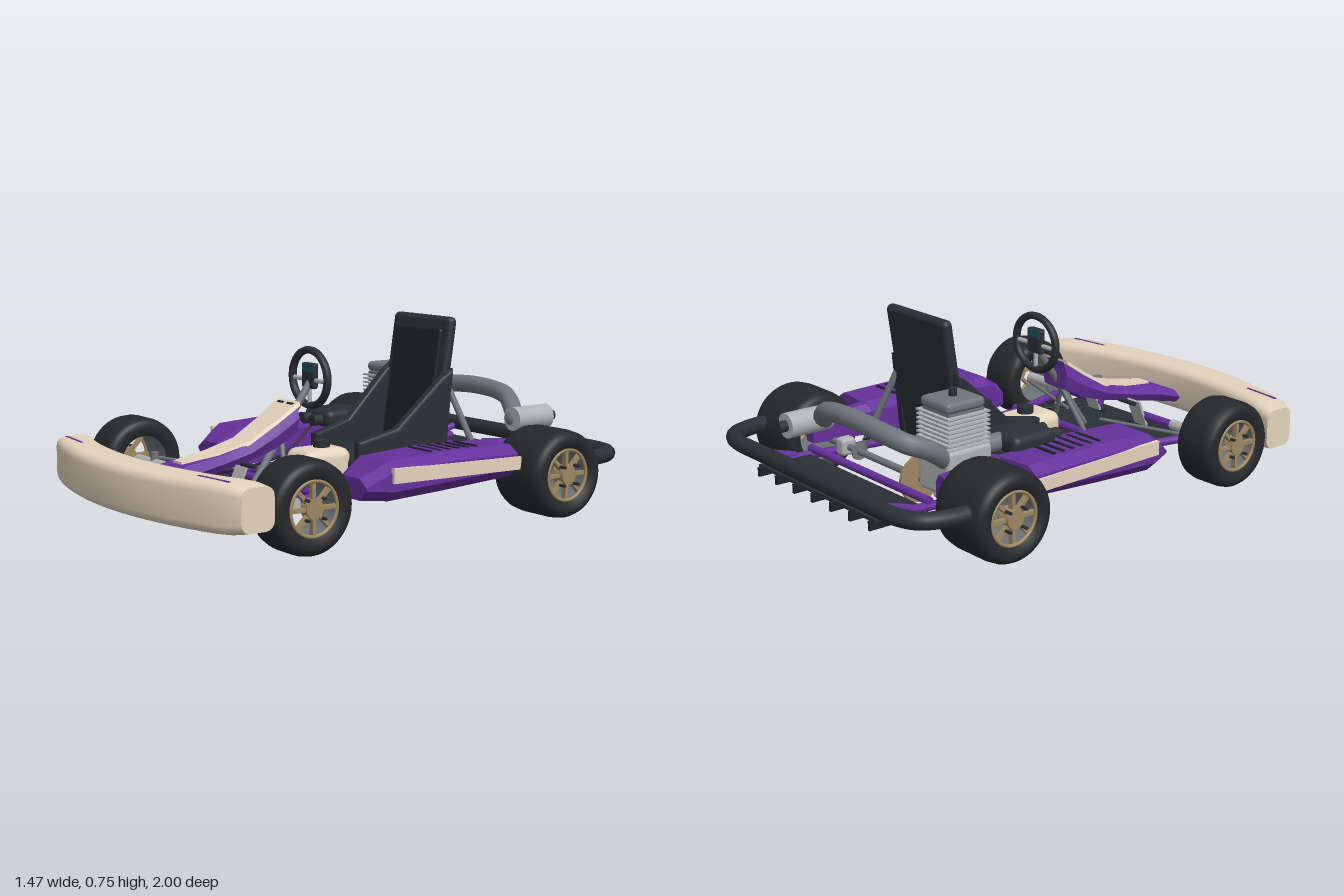
import * as THREE from 'three';
import { toCreasedNormals } from 'three/addons/utils/BufferGeometryUtils.js';
import { RoundedBoxGeometry } from 'three/addons/geometries/RoundedBoxGeometry.js';

const mat = (color) => new THREE.MeshStandardMaterial({ color, side: THREE.DoubleSide });
const PURPLE = mat(0x64309a), BEIGE = mat(0xe3d3bd), BLACK = mat(0x2b3035), DARK = mat(0x1e2226),
  RUBBER = mat(0x26282b), GREY = mat(0x70757a), LIGHT = mat(0xb0b2b4), TAN = mat(0x9c8762), SCREEN = mat(0x1d5058);
const V = (p) => new THREE.Vector3(...p);

export function createModel() {
  const kart = new THREE.Group();
  kart.name = 'goKart';

  const add = (name, geo, material, pos = [0, 0, 0], rot = [0, 0, 0], parent = kart) => {
    const m = new THREE.Mesh(geo, material);
    m.name = name;
    m.position.set(...pos);
    m.rotation.set(...rot);
    parent.add(m);
    return m;
  };
  const box = (name, size, material, pos, rot, parent) => add(name, new THREE.BoxGeometry(...size), material, pos, rot, parent);
  const rbox = (name, size, r, material, pos, rot) => add(name, new RoundedBoxGeometry(...size, 3, r), material, pos, rot);
  // Straight round bar between two points
  const rod = (name, a, b, r, material, parent) => {
    const d = V(b).sub(V(a));
    const m = add(name, new THREE.CylinderGeometry(r, r, d.length(), 16), material, V(a).add(V(b)).multiplyScalar(0.5).toArray(), [0, 0, 0], parent);
    m.quaternion.setFromUnitVectors(new THREE.Vector3(0, 1, 0), d.normalize());
    return m;
  };
  // Bent tube with rounded ends
  const tube = (name, pts, r, material, ends = true) => {
    add(name, new THREE.TubeGeometry(new THREE.CatmullRomCurve3(pts.map(V), false, 'centripetal'), 64, r, 12), material);
    if (ends) for (const p of [pts[0], pts.at(-1)]) add(name + 'End', new THREE.SphereGeometry(r, 12, 8), material, p);
  };
  // Capped skin through equal-length rings of points
  const loft = (name, rings, material, crease = 0.6) => {
    const n = rings[0].length, pos = rings.flat(2), idx = [], last = (rings.length - 1) * n;
    for (let i = 0; i < rings.length - 1; i++) for (let j = 0; j < n; j++) {
      const a = i * n + j, b = i * n + (j + 1) % n;
      idx.push(a, b, a + n, b, b + n, a + n);
    }
    for (let j = 1; j < n - 1; j++) idx.push(0, j + 1, j, last, last + j, last + j + 1);
    // Turn the skin outward if its enclosed volume is negative
    const p = (i) => new THREE.Vector3().fromArray(pos, idx[i] * 3);
    let vol = 0;
    for (let i = 0; i < idx.length; i += 3) vol += p(i).dot(p(i + 1).cross(p(i + 2)));
    if (vol < 0) idx.reverse();
    const g = new THREE.BufferGeometry();
    g.setAttribute('position', new THREE.Float32BufferAttribute(pos, 3));
    g.setIndex(idx);
    return add(name, toCreasedNormals(g, crease), material);
  };
  // Rounded rectangle outline as [u, v] pairs
  const roundRect = (u0, u1, v0, v1, r) => {
    const out = [];
    [[u1 - r, v1 - r], [u0 + r, v1 - r], [u0 + r, v0 + r], [u1 - r, v0 + r]].forEach(([u, v], q) => {
      for (let k = 0; k <= 4; k++) {
        const a = (q + k / 4) * Math.PI / 2;
        out.push([u + r * Math.cos(a), v + r * Math.sin(a)]);
      }
    });
    return out;
  };

  // Wheels
  const wheel = (name, s, x0, x1, z) => {
    const g = new THREE.Group(), w = (x1 - x0) / 2;
    g.name = name;
    g.position.set(s * (x0 + x1) / 2, 0.172, z);
    if (s < 0) g.rotation.y = Math.PI;
    kart.add(g);
    const side = [[0.1, 0.86], [0.12, 0.97], [0.14, 1], [0.157, 0.93], [0.167, 0.78], [0.172, 0.5]];
    const prof = [...side.map(([r, t]) => [r, -t * w]), ...side.map(([r, t]) => [r, t * w]).reverse()];
    add('tyre', new THREE.LatheGeometry(prof.map((p) => new THREE.Vector2(...p)), 48).rotateZ(-Math.PI / 2), RUBBER, undefined, undefined, g);
    add('rimBarrel', new THREE.CylinderGeometry(0.1, 0.1, w * 1.74, 36, 1, true).rotateZ(Math.PI / 2), GREY, undefined, undefined, g);
    add('rimRing', new THREE.TorusGeometry(0.098, 0.007, 8, 40).rotateY(Math.PI / 2), TAN, [w * 0.86, 0, 0], undefined, g);
    rod('hub', [w * 0.5, 0, 0], [w * 0.95, 0, 0], 0.036, TAN, g);
    for (let i = 0; i < 8; i++) {
      const a = i * Math.PI / 4;
      box('spoke', [0.02, 0.07, 0.014], TAN, [w * 0.78, 0.065 * Math.cos(a), 0.065 * Math.sin(a)], [a, 0, 0], g);
      if (i % 2) rod('stud', [w * 0.7, 0.05 * Math.cos(a), 0.05 * Math.sin(a)], [w + 0.01, 0.05 * Math.cos(a), 0.05 * Math.sin(a)], 0.006, BLACK, g);
    }
  };
  for (const s of [-1, 1]) {
    wheel('frontWheel', s, 0.5, 0.682, 0.552);
    wheel('rearWheel', s, 0.46, 0.725, -0.605);
  }

  // Front bumper fairing, bowed forward
  const bow = [];
  for (let i = 0; i <= 24; i++) {
    const t = i / 12 - 1, f = 1 - 0.135 * t * t, e = Math.max(0, Math.abs(t) - 0.85) / 0.15, d = 0.012 * e * e;
    bow.push(roundRect(f - 0.158 + d, f - d, 0.107 + d, 0.288 - d, 0.035).map(([z, y]) => [t * 0.677, y, z]));
  }
  loft('frontBumper', bow, BEIGE);
  for (const s of [-1, 1]) {
    box('bumperStripe', [0.17, 0.004, 0.01], PURPLE, [s * 0.515, 0.288, 0.86], [0, s * 0.12, 0]);
    box('bumperBracket', [0.025, 0.03, 0.27], GREY, [s * 0.38, 0.16, 0.74]);
  }

  // Side pods with outer panels and louvres
  for (const s of [-1, 1]) {
    // z, inner x, outer x, bottom y, top y
    const pod = [[0.258, 0.395, 0.58, 0.145, 0.225], [0.16, 0.365, 0.62, 0.138, 0.283], [-0.1, 0.36, 0.622, 0.15, 0.296],
      [-0.43, 0.375, 0.62, 0.168, 0.29], [-0.445, 0.377, 0.45, 0.168, 0.289], [-0.7, 0.39, 0.45, 0.18, 0.27]];
    loft('sidePod', pod.map(([z, a, b, lo, hi]) => {
      const c = Math.min(0.045, (b - a) * 0.25);
      return [[a, lo], [b - c, lo], [b, lo + 0.04], [b, hi - 0.03], [b - c, hi], [a + c, hi], [a, hi - 0.03]].map(([x, y]) => [s * x, y, z]);
    }), PURPLE, 0.4);
    loft('podPanel', [[0.17, 0.21, 0.265], [-0.44, 0.2, 0.25]].map(([z, lo, hi]) =>
      [[0.612, lo], [0.628, lo], [0.628, hi], [0.612, hi]].map(([x, y]) => [s * x, y, z])), BEIGE);
    for (let i = 0; i < 6; i++) box('louvre', [0.13, 0.006, 0.013], DARK, [s * 0.485, 0.295, -0.282 + i * 0.044]);
  }

  // Nose fairing: z, half width, bottom y, top y, strip half width
  const nose = [[0.2, 0.075, 0.33, 0.44, 0.08], [0.3, 0.075, 0.275, 0.375, 0.07], [0.42, 0.08, 0.24, 0.305, 0.062],
    [0.55, 0.088, 0.215, 0.272, 0.052], [0.7, 0.1, 0.185, 0.25, 0.032], [0.8, 0.118, 0.165, 0.215, 0]];
  loft('noseFairing', nose.map(([z, w, lo, hi]) =>
    [[-w * 0.8, lo], [w * 0.8, lo], [w, (lo + hi) / 2], [w * 0.7, hi], [-w * 0.7, hi], [-w, (lo + hi) / 2]].map(([x, y]) => [x, y, z])), PURPLE);
  loft('noseStrip', nose.slice(0, 5).map(([z, , , hi, w]) =>
    [[-w, hi - 0.006], [w, hi - 0.006], [w * 0.9, hi + 0.009], [-w * 0.9, hi + 0.009]].map(([x, y]) => [x, y, z])), BEIGE);
  for (const s of [-1, 1]) box('noseSlot', [0.04, 0.006, 0.01], DARK, [s * 0.032, 0.438, 0.215], [0.57, 0, 0]);

  // Floor pan with a waist
  const pan = new THREE.Shape([[0.33, 0.65], [0.33, 0.4], [0.305, 0.2], [0.305, 0], [0.33, -0.22],
    [-0.33, -0.22], [-0.305, 0], [-0.305, 0.2], [-0.33, 0.4], [-0.33, 0.65]].map((p) => new THREE.Vector2(...p)));
  add('floorPan', new THREE.ExtrudeGeometry(pan, { depth: 0.012, bevelEnabled: false }).rotateX(Math.PI / 2), BLACK, [0, 0.117, 0]);

  // Tubular frame
  for (const s of [-1, 1]) {
    tube('frameRail', [[0.41, 0.135, 0.61], [0.34, 0.13, 0.36], [0.315, 0.13, 0.25], [0.315, 0.13, -0.08], [0.345, 0.13, -0.3],
      [0.365, 0.14, -0.6], [0.37, 0.16, -0.92]].map(([x, y, z]) => [s * x, y, z]), 0.017, PURPLE);
    rod('bumperMount', [s * 0.37, 0.16, -0.8], [s * 0.37, 0.21, -0.97], 0.015, PURPLE);
  }
  for (const [z, w, y] of [[0.285, 0.35, 0.135], [-0.34, 0.36, 0.14], [-0.72, 0.38, 0.17]])
    rod('frameCrossTube', [-w, y, z], [w, y, z], 0.016, PURPLE);

  // Front axle stubs, steering rods and pedals
  for (const s of [-1, 1]) {
    rod('axleBeam', [s * 0.1, 0.17, 0.552], [s * 0.34, 0.17, 0.552], 0.017, PURPLE);
    rod('axleStub', [s * 0.32, 0.172, 0.552], [s * 0.56, 0.172, 0.552], 0.021, LIGHT);
    rod('kingpin', [s * 0.43, 0.13, 0.552], [s * 0.43, 0.22, 0.552], 0.016, GREY);
    rod('tieRod', [s * 0.5, 0.18, 0.49], [s * 0.1, 0.18, 0.36], 0.007, GREY);
    rod('pedalBar', [s * 0.09, 0.24, 0.475], [s * 0.18, 0.24, 0.475], 0.009, BLACK);
    box('pedal', [0.07, 0.12, 0.01], LIGHT, [s * 0.14, 0.185, 0.53], [-0.4, 0, 0]);
    rod('pedalPivot', [s * 0.09, 0.13, 0.565], [s * 0.18, 0.13, 0.565], 0.011, BLACK);
  }
  tube('brakeCable', [[0.26, 0.2, -0.55], [0.29, 0.17, -0.3], [0.295, 0.15, -0.05], [0.25, 0.15, 0.25], [0.15, 0.16, 0.48]], 0.005, DARK);
  tube('throttleCable', [[-0.33, 0.28, -0.14], [-0.31, 0.18, 0], [-0.27, 0.15, 0.2], [-0.15, 0.16, 0.48]], 0.005, DARK);

  // Steering wheel and column
  add('steeringRim', new THREE.TorusGeometry(0.118, 0.016, 12, 48).scale(1, 0.92, 1), BLACK, [0, 0.527, 0.1]);
  rod('steeringCrossbar', [-0.112, 0.52, 0.1], [0.112, 0.52, 0.1], 0.009, LIGHT);
  rbox('steeringHub', [0.085, 0.1, 0.025], 0.01, BLACK, [0, 0.535, 0.1]);
  for (const z of [0.087, 0.113]) box('dashDisplay', [0.068, 0.034, 0.003], SCREEN, [0, 0.567, z]);
  rod('steeringSpoke', [0, 0.425, 0.1], [0, 0.5, 0.1], 0.009, LIGHT);
  rod('steeringColumn', [0, 0.51, 0.1], [0, 0.14, 0.36], 0.015, GREY);
  for (const s of [-1, 1]) rod('columnSupport', [s * 0.1, 0.13, 0.285], [0, 0.32, 0.235], 0.01, GREY);

  // Fuel tank between the legs
  rbox('fuelTank', [0.17, 0.13, 0.22], 0.04, BEIGE, [0, 0.185, 0.06]);
  add('fuelCap', new THREE.CylinderGeometry(0.033, 0.033, 0.03, 24), BLACK, [0, 0.262, 0.045]);

  // Seat
  rbox('seatCushion', [0.3, 0.07, 0.39], 0.025, BLACK, [0, 0.19, -0.22], [0.1, 0, 0]);
  rbox('seatBack', [0.368, 0.55, 0.045], 0.022, BLACK, [0, 0.474, -0.435], [-0.15, 0, 0]);
  rbox('seatBackPad', [0.29, 0.5, 0.03], 0.012, DARK, [0, 0.45, -0.412], [-0.15, 0, 0]);
  const bolster = new THREE.Shape([[-0.03, 0.15], [-0.03, 0.27], [-0.2, 0.31], [-0.41, 0.5], [-0.45, 0.53], [-0.41, 0.15]].map((p) => new THREE.Vector2(...p)));
  for (const s of [-1, 1]) {
    const g = new THREE.ExtrudeGeometry(bolster, { depth: 0.02, bevelSize: 0.012, bevelThickness: 0.012, bevelSegments: 3 });
    add('seatBolster', g.translate(0, 0, -0.01).rotateY(-Math.PI / 2), BLACK, [s * 0.143, 0, 0], [0, -s * 0.1, 0]);
    rod('seatStrut', [s * 0.19, 0.47, -0.44], [s * 0.31, 0.16, -0.52], 0.013, GREY);
  }

  // Engine
  rbox('crankcase', [0.19, 0.18, 0.2], 0.02, LIGHT, [-0.31, 0.25, -0.55]);
  rod('crankCover', [-0.24, 0.3, -0.55], [-0.2, 0.3, -0.55], 0.06, GREY);
  box('cylinderBlock', [0.15, 0.15, 0.16], GREY, [-0.315, 0.4, -0.56]);
  for (let i = 0; i < 8; i++) box('coolingFin', [0.19, 0.007, 0.19], LIGHT, [-0.313, 0.345 + i * 0.0165, -0.56]);
  rbox('cylinderHead', [0.168, 0.042, 0.175], 0.018, GREY, [-0.318, 0.496, -0.565]);
  add('sparkPlug', new THREE.CylinderGeometry(0.015, 0.015, 0.035, 12), BLACK, [-0.32, 0.528, -0.565]);
  // Air box with twin intakes
  rbox('airBox', [0.185, 0.075, 0.205], 0.03, BLACK, [-0.35, 0.305, -0.275]);
  for (const x of [-0.39, -0.315]) rod('airIntake', [x, 0.3, -0.2], [x, 0.3, -0.13], 0.024, BLACK);
  rod('carburettor', [-0.32, 0.3, -0.47], [-0.335, 0.305, -0.36], 0.035, GREY);

  // Exhaust
  tube('exhaustPipe', [[-0.36, 0.3, -0.63], [-0.375, 0.36, -0.72], [-0.35, 0.39, -0.79], [-0.26, 0.41, -0.82], [-0.05, 0.42, -0.825],
    [0.12, 0.4, -0.81], [0.21, 0.35, -0.77], [0.25, 0.325, -0.74]], 0.037, GREY);
  rod('muffler', [0.267, 0.325, -0.715], [0.267, 0.325, -0.9], 0.049, LIGHT);
  rod('tailpipe', [0.267, 0.325, -0.89], [0.267, 0.325, -0.935], 0.022, BLACK);

  // Rear axle, sprocket and brake
  rod('rearAxle', [-0.56, 0.172, -0.605], [0.56, 0.172, -0.605], 0.014, GREY);
  for (const s of [-1, 1]) rbox('axleBearing', [0.055, 0.07, 0.065], 0.015, LIGHT, [s * 0.31, 0.172, -0.605]);
  rod('sprocket', [-0.175, 0.172, -0.605], [-0.163, 0.172, -0.605], 0.092, TAN);
  rod('brakeDisc', [0.215, 0.172, -0.605], [0.223, 0.172, -0.605], 0.035, GREY);

  // Rear bumper and ribbed undertray
  const half = [[0.65, 0.212, -0.77], [0.635, 0.212, -0.85], [0.6, 0.212, -0.925], [0.53, 0.212, -0.96], [0.3, 0.212, -0.966]];
  tube('rearBumper', [...half.map(([x, y, z]) => [-x, y, z]), ...half.slice().reverse()], 0.032, BLACK);
  box('rearUndertray', [0.76, 0.012, 0.21], BLACK, [0, 0.15, -0.85]);
  for (let i = 0; i < 7; i++) box('undertrayRib', [0.012, 0.035, 0.2], DARK, [-0.36 + i * 0.12, 0.133, -0.87]);
  return kart;
}
